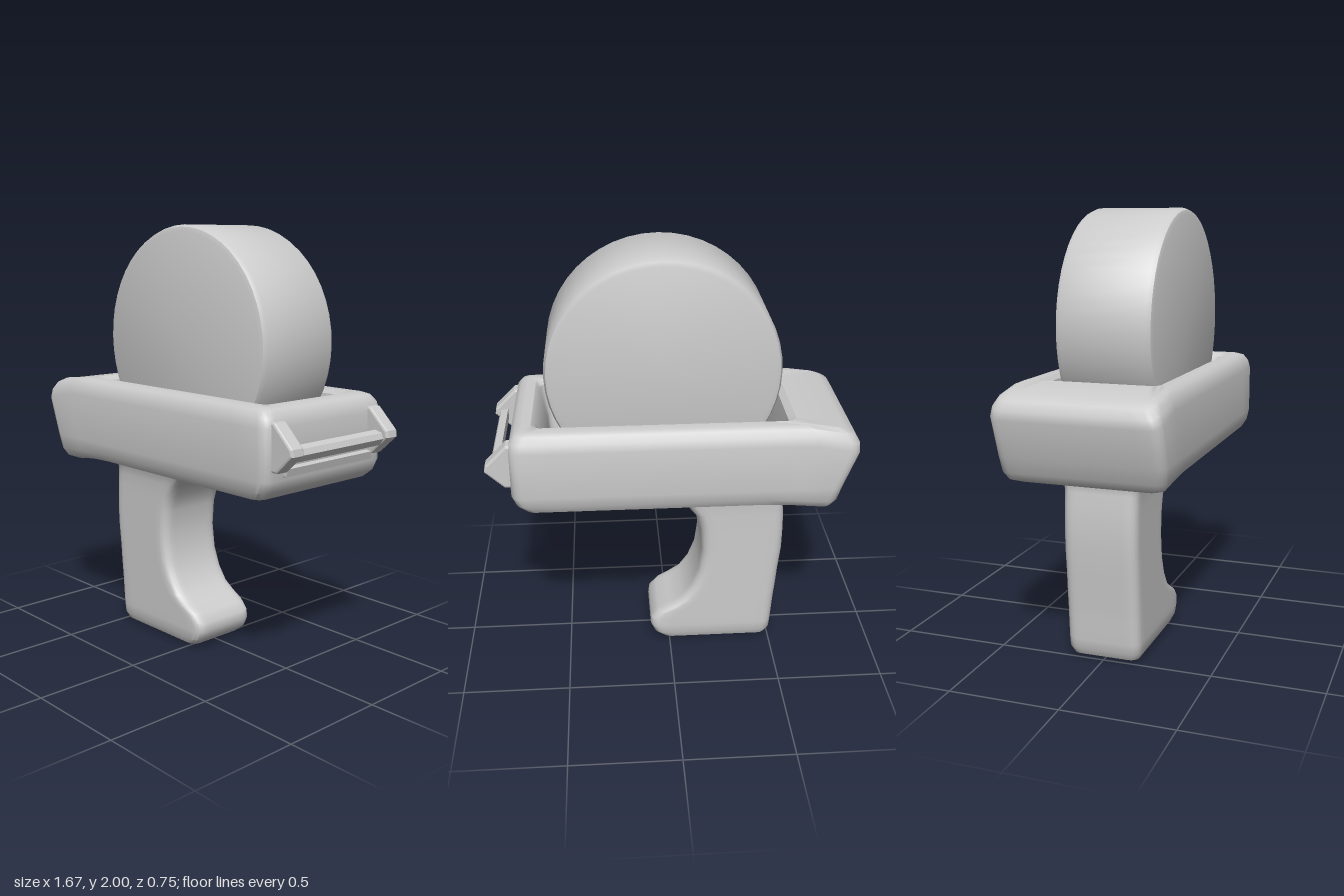
import * as THREE from 'three';
import { toCreasedNormals } from 'three/addons/utils/BufferGeometryUtils.js';

const material = new THREE.MeshStandardMaterial({ color: 0xcccccc });

function addMesh(parent, name, geometry) {
  const mesh = new THREE.Mesh(geometry, material);
  mesh.name = name;
  parent.add(mesh);
  return mesh;
}

// Rounded rectangle in plan, counter-clockwise from above, with subdivided edges
function ring([y, x0, x1, hz, r]) {
  const corners = [
    [x1 - r, -hz + r, 0], [x0 + r, -hz + r, 1],
    [x0 + r, hz - r, 2], [x1 - r, hz - r, 3],
  ];
  const arcs = corners.map(([cx, cz, q]) => {
    const arc = [];
    for (let i = 0; i <= 4; i++) {
      const a = (q + i / 4) * Math.PI / 2;
      arc.push(new THREE.Vector3(cx + r * Math.cos(a), y, cz - r * Math.sin(a)));
    }
    return arc;
  });
  const points = [];
  arcs.forEach((arc, k) => {
    points.push(...arc);
    const next = arcs[(k + 1) % 4][0];
    for (let i = 1; i < 10; i++) points.push(arc[4].clone().lerp(next, i / 10));
  });
  return points;
}

// Skin a stack of rounded rectangles [y, x0, x1, halfDepth, radius] and cap both ends
function loft(sections, bend = () => {}) {
  const rings = sections.map(ring);
  const n = rings[0].length;
  const points = rings.flat();
  const last = (rings.length - 1) * n;
  const caps = [sections[0], sections[sections.length - 1]];
  caps.forEach(([y, x0, x1]) => points.push(new THREE.Vector3((x0 + x1) / 2, y, 0)));
  points.forEach(bend);
  const index = [];
  const bottom = rings.length * n;
  for (let i = 0; i < n; i++) {
    const j = (i + 1) % n;
    for (let k = 0; k < last; k += n) {
      index.push(k + i, k + j, n + k + i, k + j, n + k + j, n + k + i);
    }
    index.push(bottom, j, i, bottom + 1, last + i, last + j);
  }
  const geometry = new THREE.BufferGeometry().setFromPoints(points);
  geometry.setIndex(index);
  return toCreasedNormals(geometry, 0.65);
}

function prism(points, depth, bevel) {
  const shape = new THREE.Shape(points.map(([x, y]) => new THREE.Vector2(x, y)));
  const geometry = new THREE.ExtrudeGeometry(shape, {
    depth: depth - 2 * bevel, bevelThickness: bevel, bevelSize: bevel,
    bevelOffset: -bevel, bevelSegments: 2,
  });
  return geometry.translate(0, 0, -depth / 2 + bevel);
}

export function createModel() {
  const model = new THREE.Group();
  model.name = 'tapeDispenser';

  // Housing: rounded outside, over the rim, then down into the roll pocket
  const housing = [
    [0.87, -0.69, 0.60, 0.31, 0.03],
    [0.885, -0.73, 0.66, 0.348, 0.04],
    [0.92, -0.755, 0.70, 0.368, 0.05],
    [0.97, -0.775, 0.72, 0.375, 0.05],
    [1.19, -0.84, 0.72, 0.375, 0.05],
    [1.23, -0.838, 0.712, 0.366, 0.05],
    [1.26, -0.815, 0.69, 0.345, 0.045],
    [1.27, -0.77, 0.66, 0.32, 0.04],
    [1.27, -0.56, 0.62, 0.275, 0.04],
    [1.25, -0.53, 0.60, 0.255, 0.04],
    [1.10, -0.505, 0.57, 0.235, 0.03],
    [1.00, -0.50, 0.565, 0.23, 0.03],
  ];
  addMesh(model, 'housing', loft(housing, (p) => {
    // The rear end droops along the top and swells below
    if (p.y > 1.18) p.y -= 0.9 * Math.max(0, -0.6 - p.x) ** 2;
    else if (p.y < 0.93) p.y -= 0.02 * THREE.MathUtils.smoothstep(-p.x, 0.5, 0.64);
  }));

  // Handle: toe at the foot, curved grip, flare under the housing
  const handle = [
    [0.00, -0.46, 0.00, 0.13, 0.03],
    [0.012, -0.49, 0.035, 0.155, 0.04],
    [0.045, -0.508, 0.075, 0.17, 0.045],
    [0.09, -0.512, 0.095, 0.172, 0.045],
    [0.13, -0.515, 0.09, 0.172, 0.045],
    [0.17, -0.518, 0.055, 0.172, 0.045],
    [0.20, -0.52, 0.00, 0.172, 0.045],
    [0.24, -0.523, -0.06, 0.172, 0.045],
    [0.31, -0.53, -0.11, 0.172, 0.045],
    [0.40, -0.537, -0.145, 0.172, 0.045],
    [0.52, -0.55, -0.16, 0.172, 0.045],
    [0.64, -0.552, -0.15, 0.172, 0.045],
    [0.72, -0.549, -0.125, 0.172, 0.045],
    [0.78, -0.543, -0.075, 0.173, 0.045],
    [0.82, -0.54, -0.025, 0.178, 0.045],
    [0.85, -0.555, 0.03, 0.19, 0.05],
    [0.87, -0.60, 0.09, 0.215, 0.06],
    [0.89, -0.62, 0.11, 0.23, 0.06],
  ];
  addMesh(model, 'handle', loft(handle));

  // Tape roll with softened edges
  const profile = [[0, -0.222], [0.495, -0.222], [0.515, -0.215], [0.525, -0.195],
    [0.525, 0.195], [0.515, 0.215], [0.495, 0.222], [0, 0.222]];
  const roll = new THREE.LatheGeometry(profile.map(([x, y]) => new THREE.Vector2(x, y)), 48);
  const rollMesh = addMesh(model, 'tapeRoll', toCreasedNormals(roll, 0.6));
  rollMesh.rotation.x = Math.PI / 2;
  rollMesh.position.set(0.03, 1.475, 0);

  // Cutter: two pointed ears joined by crossbars
  const cutter = new THREE.Group();
  cutter.name = 'cutter';
  model.add(cutter);
  const ear = prism([[0.69, 1.22], [0.73, 1.215], [0.825, 1.12], [0.83, 1.09],
    [0.745, 1.01], [0.69, 1.01]], 0.075, 0.01);
  for (const side of [1, -1]) {
    addMesh(cutter, side > 0 ? 'leftEar' : 'rightEar', ear).position.z = side * 0.3;
  }
  addMesh(cutter, 'cuttingBar', prism([[0.765, 1.12], [0.765, 1.07], [0.79, 1.055],
    [0.81, 1.085], [0.80, 1.11]], 0.56, 0.004));
  addMesh(cutter, 'lowerBar', prism([[0.70, 1.03], [0.70, 0.98], [0.735, 0.985],
    [0.745, 1.02]], 0.54, 0.004));

  return model;
}
